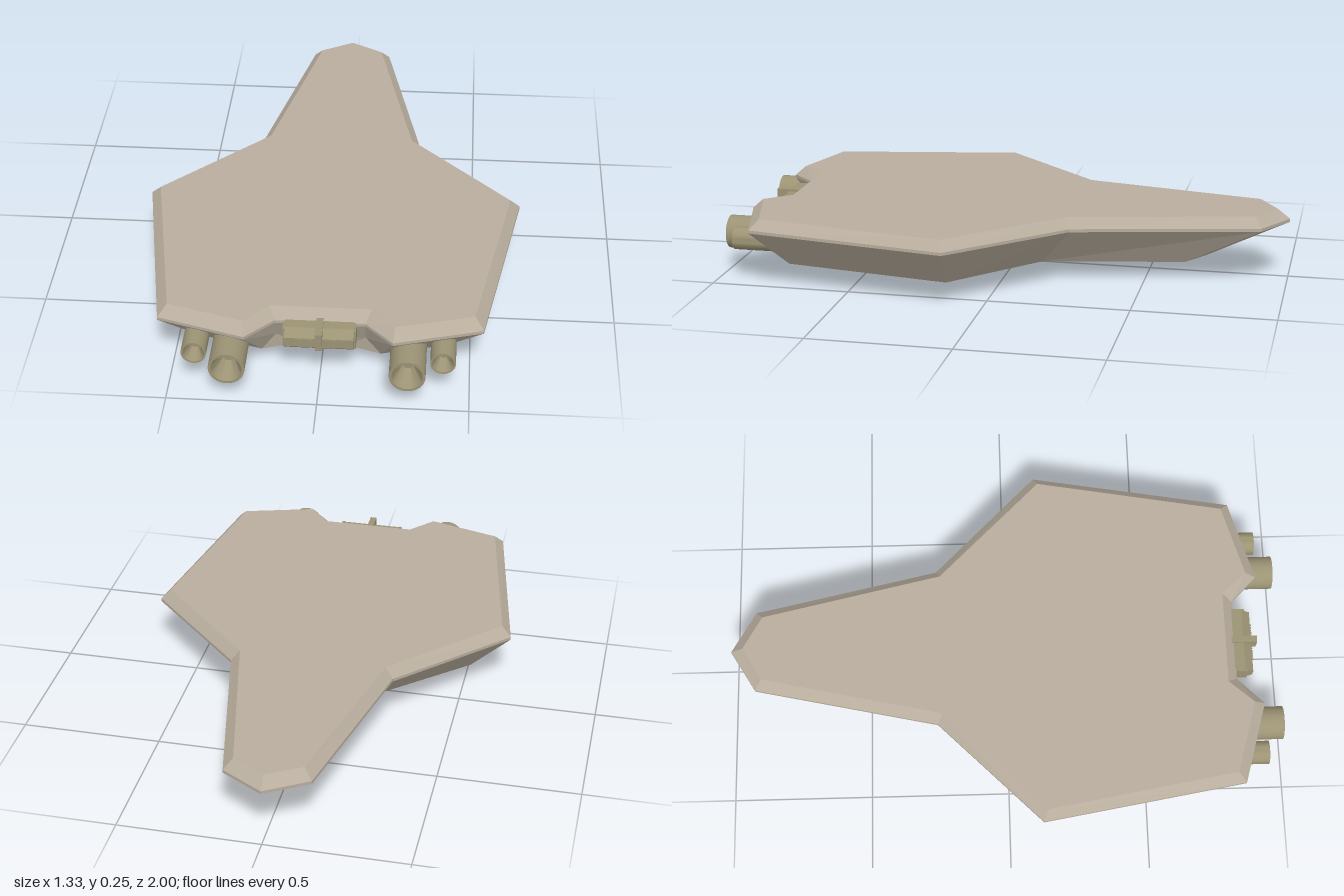
import * as THREE from 'three';
import { toCreasedNormals } from 'three/addons/utils/BufferGeometryUtils.js';

const hullMat = new THREE.MeshStandardMaterial({ color: 0xb8ad9d, flatShading: true });
const metalMat = new THREE.MeshStandardMaterial({ color: 0x9c9374 });

// Half outlines [x, z], from the nose tip round the +x side to the middle of the stern notch
const deckPlan = [[0, -0.955], [0.12, -0.885], [0.265, -0.235], [0.63, 0.135], [0.51, 0.815], [0.25, 0.89], [0.17, 0.8], [0, 0.8]];
const rimPlan = [[0, -1], [0.15, -0.91], [0.295, -0.25], [0.665, 0.12], [0.54, 0.845], [0.245, 0.93], [0.15, 0.835], [0, 0.835]];
const basePlan = [[0, -0.71], [0.11, -0.64], [0.205, -0.14], [0.52, 0.14], [0.42, 0.74], [0.2, 0.8], [0.15, 0.8], [0, 0.8]];

const atHeight = (plan, y) => plan.map(([x, z]) => [x, y, z]);

// Flat-faced geometry from half-model triangles, mirrored across x = 0
function mirrored(tris) {
  const pos = [];
  for (const [a, b, c] of tris) {
    pos.push(...a, ...b, ...c);
    for (const [x, y, z] of [a, c, b]) pos.push(-x, y, z);
  }
  const g = new THREE.BufferGeometry();
  g.setAttribute('position', new THREE.Float32BufferAttribute(pos, 3));
  g.computeVertexNormals();
  return g;
}

// Wall between an upper and a lower half outline
function wall(up, low) {
  const t = [];
  for (let i = 0; i < up.length - 1; i++) {
    t.push([up[i], up[i + 1], low[i + 1]], [up[i], low[i + 1], low[i]]);
  }
  return t;
}

function add(parent, name, geometry, material, x = 0, y = 0, z = 0) {
  const m = new THREE.Mesh(geometry, material);
  m.name = name;
  m.position.set(x, y, z);
  parent.add(m);
  return m;
}

// Nozzle: tube with a conical bore ending in a small disc, pointing to +z
function nozzle(r, length, depth) {
  const profile = [[r, 0], [r, length], [r * 0.85, length], [r * 0.34, length - depth], [0, length - depth]];
  const g = new THREE.LatheGeometry(profile.map(([x, y]) => new THREE.Vector2(x, y)), 32);
  g.rotateX(Math.PI / 2);
  return toCreasedNormals(g, 0.6);
}

export function createModel() {
  const model = new THREE.Group();
  model.name = 'spaceship';

  // Bevelled top deck
  const deck = atHeight(deckPlan, 0.25);
  const rimTop = atHeight(rimPlan, 0.215);
  const rimLow = atHeight(rimPlan, 0.204);
  const centre = [0, 0.25, 0];
  const top = wall(deck, rimTop);
  for (let i = 0; i < deck.length - 1; i++) top.push([centre, deck[i + 1], deck[i]]);
  add(model, 'deck', mirrored(top), hullMat);
  add(model, 'rim', mirrored(wall(rimTop, rimLow)), hullMat);

  // Lower hull: sloping sides, two flat lobes and a pointed keel
  const base = atHeight(basePlan, 0.064);
  base[6][1] = base[7][1] = 0.13;
  const [tip, nose, waist, wing, rear, lobe, notch, notchMid] = base;
  const apex = [0, 0, -0.1], keel = [0.08, 0.08, 0.78], keelMid = [0, 0.08, 0.78];
  add(model, 'hullSides', mirrored(wall(rimLow, base)), hullMat);
  add(model, 'hullBottom', mirrored([
    [waist, wing, rear], [waist, rear, lobe],
    [apex, tip, nose], [apex, nose, waist], [apex, waist, lobe],
    [apex, lobe, keel], [apex, keel, keelMid],
    [lobe, notch, keel], [keel, notch, notchMid], [keel, notchMid, keelMid],
  ]), hullMat);

  // Paired engines
  for (const s of [-1, 1]) {
    add(model, 'mainEngine', nozzle(0.06, 0.24, 0.07), metalMat, s * 0.295, 0.135, 0.76);
    add(model, 'smallEngine', nozzle(0.042, 0.2, 0.05), metalMat, s * 0.41, 0.147, 0.74);
  }

  // Stern unit in the notch: chamfered block, end brackets, middle fin and studs
  const unit = new THREE.Group();
  unit.name = 'sternUnit';
  model.add(unit);
  const side = new THREE.Shape([[0.81, 0.15], [0.89, 0.15], [0.9, 0.16], [0.9, 0.195], [0.87, 0.218], [0.81, 0.218]]
    .map(([z, y]) => new THREE.Vector2(-z, y)));
  const block = new THREE.ExtrudeGeometry(side, { depth: 0.23, bevelEnabled: false });
  block.rotateY(Math.PI / 2);
  add(unit, 'block', block, metalMat, -0.115);
  add(unit, 'fin', new THREE.BoxGeometry(0.024, 0.05, 0.1), metalMat, 0, 0.2, 0.868);
  add(unit, 'finFoot', new THREE.BoxGeometry(0.024, 0.03, 0.07), metalMat, 0, 0.165, 0.87);
  const stud = new THREE.BoxGeometry(0.005, 0.005, 0.006);
  for (const s of [-1, 1]) {
    add(unit, 'bracket', new THREE.BoxGeometry(0.008, 0.07, 0.06), metalMat, s * 0.117, 0.18, 0.85);
    for (let i = 0; i < 5; i++) add(unit, 'stud', stud, metalMat, s * (0.025 + i * 0.01), 0.19, 0.901);
  }
  return model;
}
